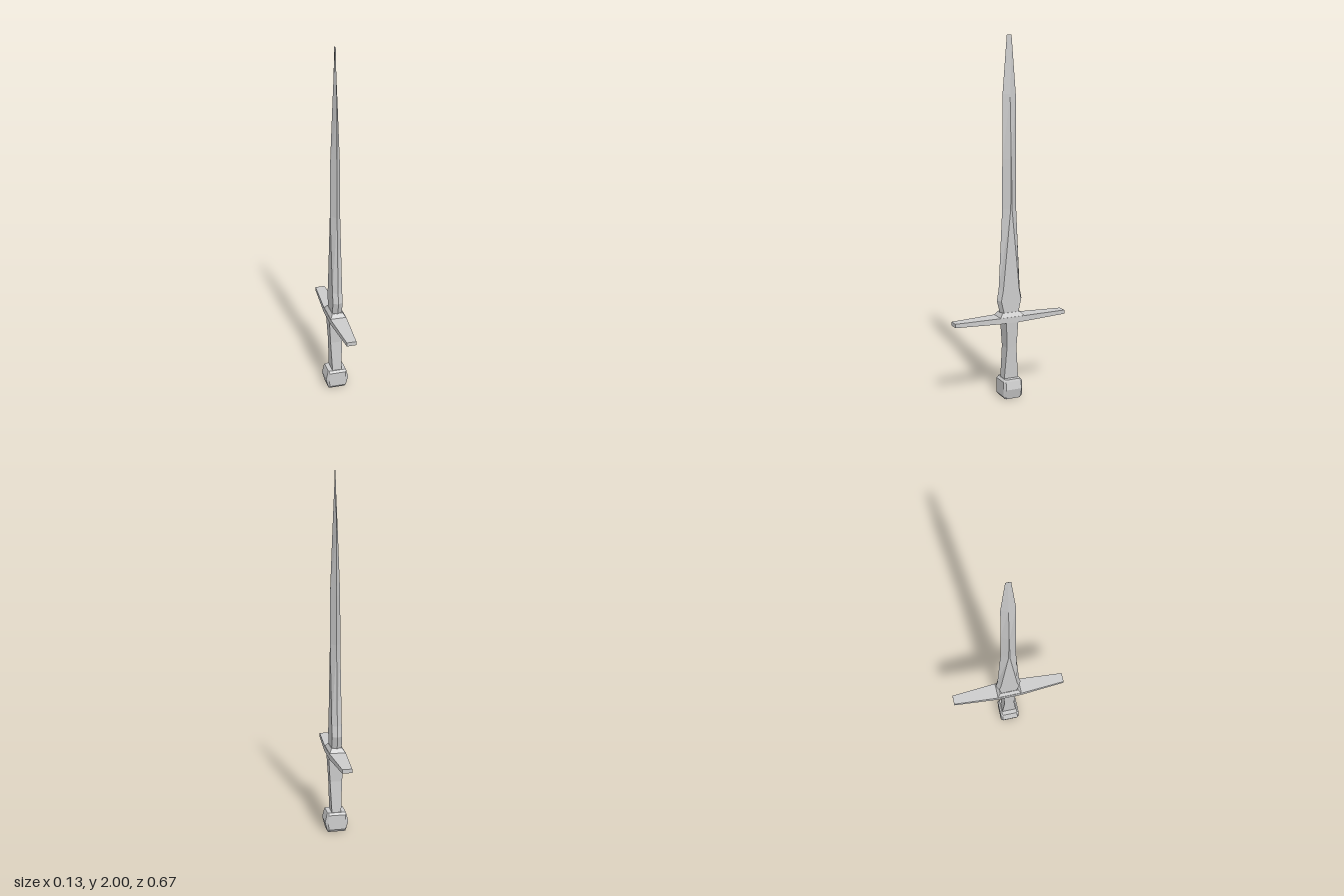
import * as THREE from 'three';

const steel = new THREE.MeshStandardMaterial({ color: 0xcccccc, flatShading: true });

// Skin a list of rings (each counter-clockwise about the loft direction) and cap both ends
function loft(name, rings) {
  const pos = [];
  const tri = (...corners) => corners.forEach((p) => pos.push(...p));
  const n = rings[0].length;
  for (let r = 0; r < rings.length - 1; r++) {
    const lo = rings[r], hi = rings[r + 1];
    for (let i = 0; i < n; i++) {
      const j = (i + 1) % n;
      tri(lo[i], lo[j], hi[j]);
      tri(lo[i], hi[j], hi[i]);
    }
  }
  const first = rings[0], last = rings[rings.length - 1];
  for (let i = 1; i < n - 1; i++) {
    tri(first[0], first[i + 1], first[i]);
    tri(last[0], last[i], last[i + 1]);
  }
  const geo = new THREE.BufferGeometry();
  geo.setAttribute('position', new THREE.Float32BufferAttribute(pos, 3));
  geo.computeVertexNormals();
  const mesh = new THREE.Mesh(geo, steel);
  mesh.name = name;
  return mesh;
}

// Cross-sections
const rect = ([y, x, z]) => [[-x, y, z], [x, y, z], [x, y, -z], [-x, y, -z]];
const hexagon = ([y, x, flat, edge]) => [
  [0, y, edge], [x, y, flat], [x, y, -flat], [0, y, -edge], [-x, y, -flat], [-x, y, flat],
];
const octagon = ([y, x, z, cx, cz]) => [
  [-cx, y, z], [cx, y, z], [x, y, cz], [x, y, -cz], [cx, y, -z], [-cx, y, -z], [-x, y, -cz], [-x, y, cz],
];
const barSection = ([z, x, y0, y1]) => [[x, y0, z], [x, y1, z], [-x, y1, z], [-x, y0, z]];

export function createModel() {
  const sword = new THREE.Group();
  sword.name = 'sword';

  // Blade: height, half thickness, half width of the flat, half width at the cutting edge
  sword.add(loft('blade', [
    [0.475, 0.028, 0.04, 0.053],
    [0.5, 0.028, 0.046, 0.06],
    [0.56, 0.028, 0.06, 0.075],
    [0.62, 0.028, 0.048, 0.064],
    [1.07, 0.028, 0.004, 0.042],
    [1.34, 0.028, 0.001, 0.041],
    [1.69, 0.014, 0.001, 0.039],
    [2.0, 0.0005, 0.001, 0.014],
  ].map(hexagon)));

  // Collar sloping from the guard up to the blade
  sword.add(loft('collar', [[0.466, 0.046, 0.073], [0.492, 0.03, 0.054]].map(rect)));

  // Crossguard: two tapered arms along z
  sword.add(loft('crossguard', [
    [-0.333, 0.027, 0.443, 0.465],
    [-0.073, 0.046, 0.437, 0.469],
    [0.073, 0.046, 0.437, 0.469],
    [0.333, 0.027, 0.443, 0.465],
  ].map(barSection)));

  // Grip: tapers in x, waisted in z
  sword.add(loft('grip', [
    [0.1, 0.026, 0.043],
    [0.13, 0.027, 0.041],
    [0.29, 0.034, 0.029],
    [0.44, 0.043, 0.036],
  ].map(rect)));

  // Pommel: chamfered block, widest at mid height
  sword.add(loft('pommel', [
    [0, 0.051, 0.046, 0.045, 0.04],
    [0.015, 0.055, 0.057, 0.047, 0.045],
    [0.057, 0.066, 0.057, 0.048, 0.046],
    [0.1, 0.056, 0.057, 0.047, 0.045],
    [0.112, 0.052, 0.046, 0.045, 0.04],
  ].map(octagon)));

  return sword;
}
